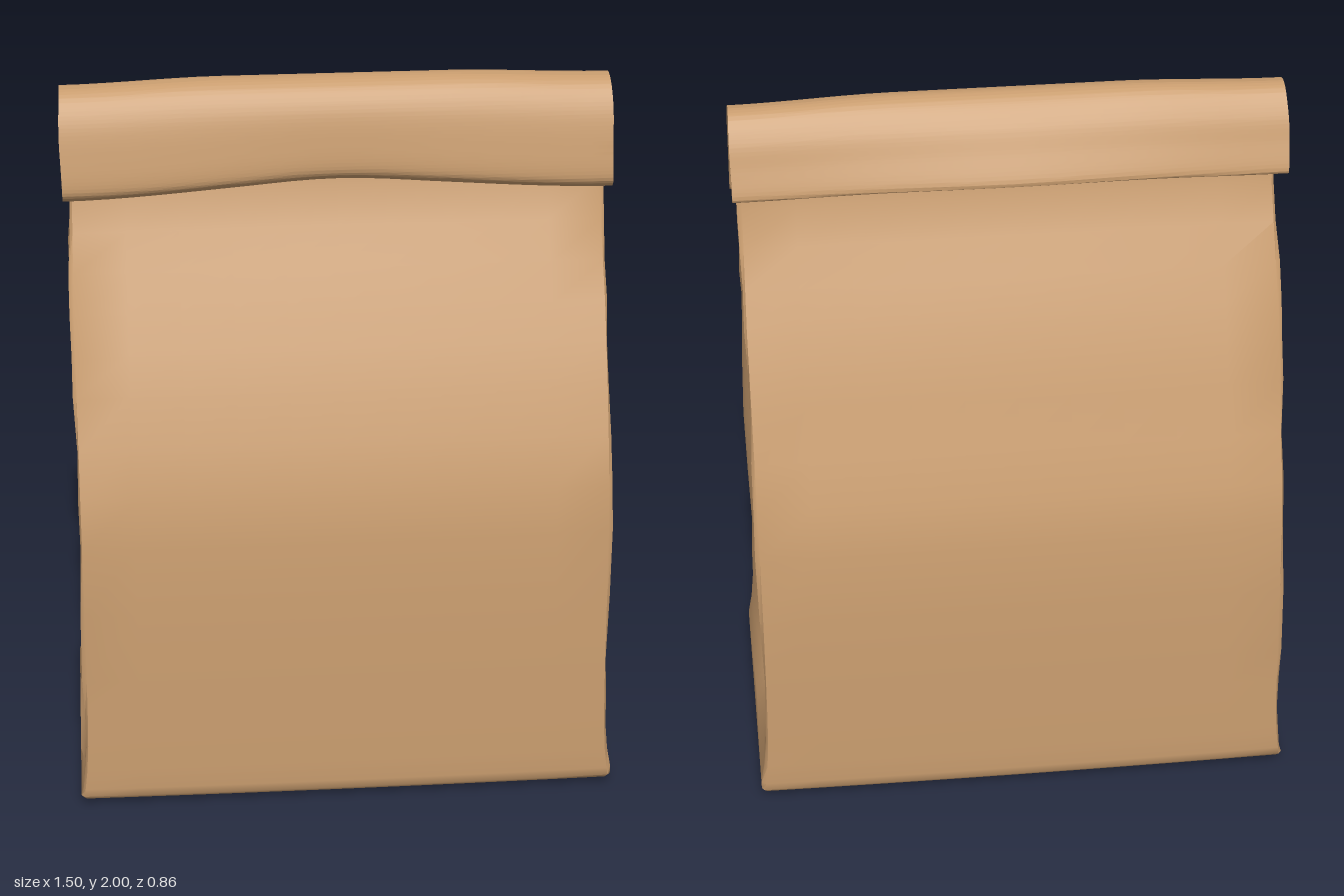
import * as THREE from 'three';
import { toCreasedNormals } from 'three/addons/utils/BufferGeometryUtils.js';

const paper = new THREE.MeshStandardMaterial({ color: 0xc89c6e });
paper.name = 'kraftPaper';

// Slight crumple of the side edges with height
const crumple = (y, s) => 0.004 * Math.sin(y * 7 + s * 2) + 0.002 * Math.sin(y * 23 + s);

// Cross-sections: [height, half width, half depth, gusset inset]
const sections = [
  [0.004, 0.4, 0, 0], [0.005, 0.6, 0.2, 0], [0.011, 0.71, 0.36, 0], [0.022, 0.742, 0.41, 0],
  [0.036, 0.748, 0.423, 0], [0.06, 0.744, 0.425, 0.006], [0.12, 0.737, 0.424, 0.026],
  [0.2, 0.732, 0.422, 0.06], [0.3, 0.73, 0.419, 0.098], [0.4, 0.729, 0.415, 0.125],
  [0.6, 0.728, 0.407, 0.16], [0.8, 0.728, 0.39, 0.19], [0.93, 0.728, 0.37, 0.212],
  [1.06, 0.728, 0.327, 0.235], [1.2, 0.728, 0.275, 0.257], [1.3, 0.728, 0.23, 0.27],
  [1.4, 0.728, 0.182, 0.28], [1.5, 0.726, 0.133, 0.288], [1.6, 0.724, 0.086, 0.294],
  [1.7, 0.722, 0.04, 0.3], [1.78, 0.722, 0.026, 0.3], [1.95, 0.722, 0.02, 0.3],
];

// Gusset fold: [depth fraction, share of the inset], from the edge to the middle crease
const gusset = [
  [1, 0], [0.97, 0.005], [0.9, 0.03], [0.78, 0.12], [0.6, 0.3], [0.4, 0.55], [0.2, 0.84],
  [0.1, 0.96], [0, 1],
];
const side = [...gusset, ...gusset.slice(0, -1).reverse().map(([t, f]) => [-t, f])];

// One closed loop: front, +x side, back, -x side
function sectionLoop([y, w, d, inset]) {
  const loop = [];
  const rim = Math.min(0.01, d * 0.2);
  const backDepth = d - 0.02 * Math.exp(-(((y - 1.08) / 0.22) ** 2));
  const depth = (t) => (t > 0 ? d : backDepth);
  for (const s of [1, -1]) {
    const wobble = y > 0.05 ? crumple(y, s) : 0;
    for (let i = 0; i <= 10; i++) {
      const u = -1 + i / 5;
      const bulge = d > 0.1 ? 0.006 * (1 - u * u) : 0;
      loop.push([s * u * (w - 0.008), y, s * (depth(s) + bulge)]);
    }
    for (const [t, f] of side) {
      loop.push([s * (w - inset * f + wobble), y, s * t * (depth(s * t) - rim)]);
    }
  }
  return loop;
}

function bodyGeometry() {
  const loops = sections.map(sectionLoop);
  const n = loops[0].length;
  const index = [];
  for (let k = 0; k < loops.length - 1; k++) {
    for (let i = 0; i < n; i++) {
      const j = (i + 1) % n;
      const a = k * n + i, b = k * n + j, c = a + n, e = b + n;
      index.push(a, b, e, a, e, c);
    }
  }
  const g = new THREE.BufferGeometry();
  g.setAttribute('position', new THREE.Float32BufferAttribute(loops.flat(2), 3));
  g.setIndex(index);
  return toCreasedNormals(g, 0.8);
}

// Folded-over top: a hooked profile in (z, y) run along x
function foldGeometry() {
  const profile = [
    [0.095, 1.704], [0.118, 1.735], [0.106, 1.82], [0.082, 1.91], [0.045, 1.97], [0, 1.992],
    [-0.045, 1.98], [-0.09, 1.925], [-0.12, 1.86], [-0.15, 1.79], [-0.138, 1.776],
    [-0.1, 1.785], [-0.082, 1.84], [-0.055, 1.89], [-0.02, 1.905],
    [0.02, 1.87], [0.04, 1.82], [0.054, 1.765], [0.072, 1.712],
  ].map(([z, y]) => new THREE.Vector2(z, y));
  const shape = new THREE.Shape();
  shape.moveTo(profile[0].x, profile[0].y);
  shape.splineThru([...profile.slice(1), profile[0].clone()]);
  const g = new THREE.ExtrudeGeometry(shape, {
    depth: 1.476, steps: 24, bevelEnabled: false, curveSegments: 50,
  });
  g.rotateY(-Math.PI / 2).translate(0.738, 0, 0);

  // Lift the middle, let the back lip swell outward and roughen the ends
  const p = g.attributes.position;
  for (let i = 0; i < p.count; i++) {
    const x = p.getX(i), y = p.getY(i), z = p.getZ(i);
    const mid = Math.exp(-((x / 0.3) ** 2));
    const low = THREE.MathUtils.clamp((1.98 - y) / 0.25, 0, 1);
    const end = THREE.MathUtils.smoothstep(Math.abs(x), 0.3, 0.74);
    p.setY(i, y + 0.008 * (1 - end) + mid * low * (z > 0 ? 0.026 : 0.005) - end * 0.006);
    p.setZ(i, z + (z < 0 ? -0.018 * mid * low + 0.018 * end * low : -0.012 * mid * low));
    p.setX(i, x + end * 0.8 * crumple(y, Math.sign(x)));
  }
  return toCreasedNormals(g, 0.75);
}

export function createModel() {
  const bag = new THREE.Group();
  bag.name = 'paperBag';
  const body = new THREE.Mesh(bodyGeometry(), paper);
  body.name = 'bagBody';
  const fold = new THREE.Mesh(foldGeometry(), paper);
  fold.name = 'foldedTop';
  bag.add(body, fold);
  return bag;
}
